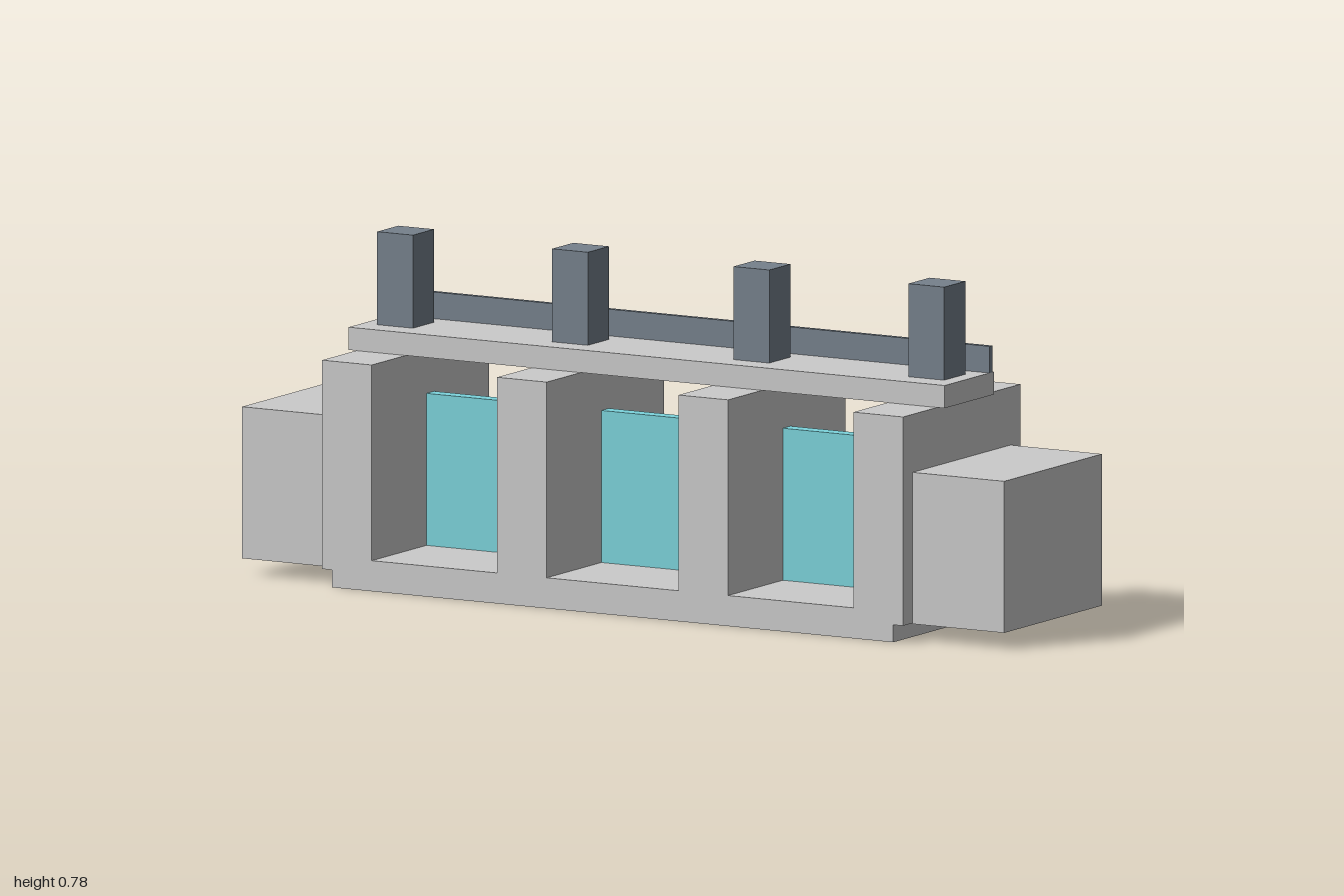
import * as THREE from 'three';

const concrete = new THREE.MeshStandardMaterial({ color: 0xcccccc, flatShading: true });
const steel = new THREE.MeshStandardMaterial({ color: 0x76818c, flatShading: true });
const gateBlue = new THREE.MeshStandardMaterial({ color: 0x7cd4dc, flatShading: true });

// Box given by its extents along each axis
function block(name, material, [x0, x1], [y0, y1], [z0, z1]) {
  const mesh = new THREE.Mesh(new THREE.BoxGeometry(x1 - x0, y1 - y0, z1 - z0), material);
  mesh.position.set((x0 + x1) / 2, (y0 + y1) / 2, (z0 + z1) / 2);
  mesh.name = name;
  return mesh;
}

export function createModel() {
  const model = new THREE.Group();
  model.name = 'sluiceDam';
  const pierX = [-0.699, -0.24, 0.236, 0.695];
  const pierHalf = 0.065;

  // Floor slab
  model.add(block('floorSlab', concrete, [-0.738, 0.734], [0, 0.07], [-0.26, 0.26]));

  // Piers, each carrying a hoist post
  pierX.forEach((x) => {
    model.add(block('pier', concrete, [x - pierHalf, x + pierHalf], [0.04, 0.518], [-0.26, 0.26]));
    model.add(block('hoistPost', steel, [x - 0.047, x + 0.047], [0.57, 0.783], [-0.047, 0.047]));
  });

  // Gates between neighbouring piers
  for (let i = 0; i < 3; i++) {
    model.add(block('gate', gateBlue,
      [pierX[i] + pierHalf, pierX[i + 1] - pierHalf], [0.07, 0.418], [-0.017, 0.017]));
  }

  // End abutments
  model.add(block('rightAbutment', concrete, [-1, -0.764], [0.038, 0.385], [-0.217, 0.217]));
  model.add(block('leftAbutment', concrete, [0.76, 1], [0.038, 0.385], [-0.217, 0.217]));

  // Walkway and its rear parapet
  model.add(block('walkway', concrete, [-0.784, 0.78], [0.518, 0.57], [-0.109, 0.109]));
  model.add(block('parapet', steel, [-0.784, 0.78], [0.57, 0.631], [-0.102, -0.089]));

  return model;
}
